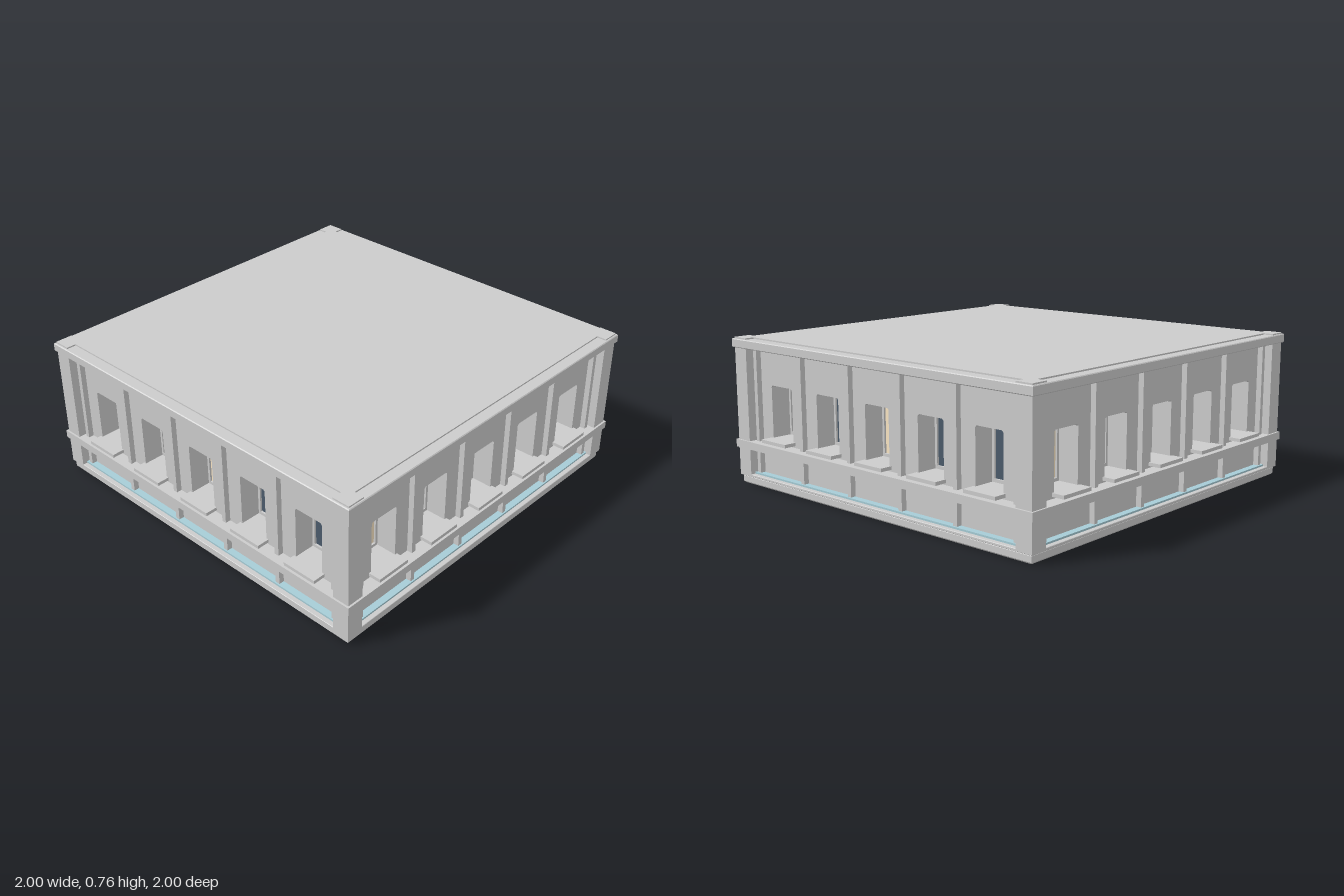
import * as THREE from 'three';

const material = (color) => new THREE.MeshStandardMaterial({ color, flatShading: true });
const grey = material(0xcccccc);
const darkGlass = material(0x4a5a6a);
const litGlass = material(0xfae6c4);
const paleBlue = material(0xa6ccd6);

const WALL = 0.93, DEPTH = 0.12, SPACING = 0.35;

function add(parent, name, geometry, mat = grey) {
  const mesh = new THREE.Mesh(geometry, mat);
  mesh.name = name;
  parent.add(mesh);
  return mesh;
}

// Box given by its lower and upper limits on each axis
function box(parent, name, [x0, x1], [y0, y1], [z0, z1], mat) {
  const mesh = add(parent, name, new THREE.BoxGeometry(x1 - x0, y1 - y0, z1 - z0), mat);
  mesh.position.set((x0 + x1) / 2, (y0 + y1) / 2, (z0 + z1) / 2);
  return mesh;
}

// Square slab with chamfered edges
function slab(parent, name, half, y0, y1, bevel) {
  const h = half - bevel;
  const shape = new THREE.Shape([[-h, -h], [h, -h], [h, h], [-h, h]].map(([x, y]) => new THREE.Vector2(x, y)));
  const geometry = new THREE.ExtrudeGeometry(shape, {
    depth: y1 - y0 - 2 * bevel, bevelSize: bevel, bevelThickness: bevel, bevelSegments: 1,
  });
  geometry.rotateX(-Math.PI / 2).translate(0, y0 + bevel, 0);
  return add(parent, name, geometry);
}

// Window outline with clipped upper corners
function outline(PathType, cx, halfWidth, y0, y1, clip) {
  const points = [
    [-halfWidth, y0], [halfWidth, y0], [halfWidth, y1 - clip],
    [halfWidth - clip, y1], [-halfWidth + clip, y1], [-halfWidth, y1 - clip],
  ];
  return new PathType(points.map(([x, y]) => new THREE.Vector2(cx + x, y)));
}

function createWindow(x, lit) {
  const group = new THREE.Group();
  group.name = 'window';
  const back = WALL - DEPTH;

  const ring = outline(THREE.Shape, 0, 0.082, 0.257, 0.527, 0.008);
  ring.holes.push(outline(THREE.Path, 0, 0.067, 0.272, 0.513, 0.002));
  add(group, 'windowFrame', new THREE.ExtrudeGeometry(ring, { depth: 0.015, bevelEnabled: false }))
    .position.z = back;
  box(group, 'windowPane', [-0.075, 0.075], [0.262, 0.52], [back - 0.01, back + 0.005], lit ? litGlass : darkGlass);
  box(group, 'windowSill', [-0.093, 0.093], [0.24, 0.257], [WALL - 0.02, 0.995]);

  group.position.x = x;
  return group;
}

function createSide(litWindows) {
  const side = new THREE.Group();
  side.name = 'facade';

  // Thick wall pierced by five window openings
  const wall = new THREE.Shape([[-WALL, 0.04], [WALL, 0.04], [WALL, 0.72], [-WALL, 0.72]]
    .map(([x, y]) => new THREE.Vector2(x, y)));
  for (let i = -2; i <= 2; i++) {
    wall.holes.push(outline(THREE.Path, i * SPACING, 0.08, 0.257, 0.525, 0.008));
    side.add(createWindow(i * SPACING, litWindows.includes(i)));
  }
  add(side, 'wall', new THREE.ExtrudeGeometry(wall, { depth: DEPTH, bevelEnabled: false }))
    .position.z = WALL - DEPTH;

  // Upright ribs between the windows
  for (let i = -2.5; i <= 2.5; i++) {
    const x = i * SPACING * 0.997;
    box(side, 'rib', [x - 0.012, x + 0.012], [0.066, 0.695], [WALL - 0.01, 0.958]);
  }

  // Pale strip along the foot and the horizontal belt
  box(side, 'footStrip', [-0.9, 0.9], [0.054, 0.065], [WALL - 0.01, 0.965], paleBlue);
  return side;
}

export function createModel() {
  const model = new THREE.Group();
  model.name = 'building';

  // Base, floor plate, belt, cornice and raised roof
  slab(model, 'base', 0.98, 0, 0.045, 0.008);
  slab(model, 'floorPlate', 0.99, 0.043, 0.056, 0.002);
  slab(model, 'cornice', 1, 0.705, 0.75, 0.004);
  box(model, 'roof', [-0.94, 0.94], [0.74, 0.757], [-0.94, 0.94]);

  // Belt as a hollow square so the window openings stay clear
  const half = [[-1, -1], [1, -1], [1, 1], [-1, 1]];
  const belt = new THREE.Shape(half.map(([x, y]) => new THREE.Vector2(x, y)));
  belt.holes.push(new THREE.Path(half.map(([x, y]) => new THREE.Vector2(x * 0.9, y * 0.9))));
  const beltGeometry = new THREE.ExtrudeGeometry(belt, { depth: 0.04, bevelEnabled: false });
  add(model, 'belt', beltGeometry.rotateX(-Math.PI / 2)).position.y = 0.19;

  // Corner posts rising through the cornice
  for (const x of [-0.945, 0.945]) {
    for (const z of [-0.945, 0.945]) {
      box(model, 'cornerPost', [x - 0.045, x + 0.045], [0.05, 0.757], [z - 0.045, z + 0.045]);
    }
  }

  // Four facades: front and back light the middle window, the others the end windows
  for (let i = 0; i < 4; i++) {
    const side = createSide(i % 2 ? [-2, 2] : [0]);
    side.rotation.y = i * Math.PI / 2;
    model.add(side);
  }
  return model;
}
